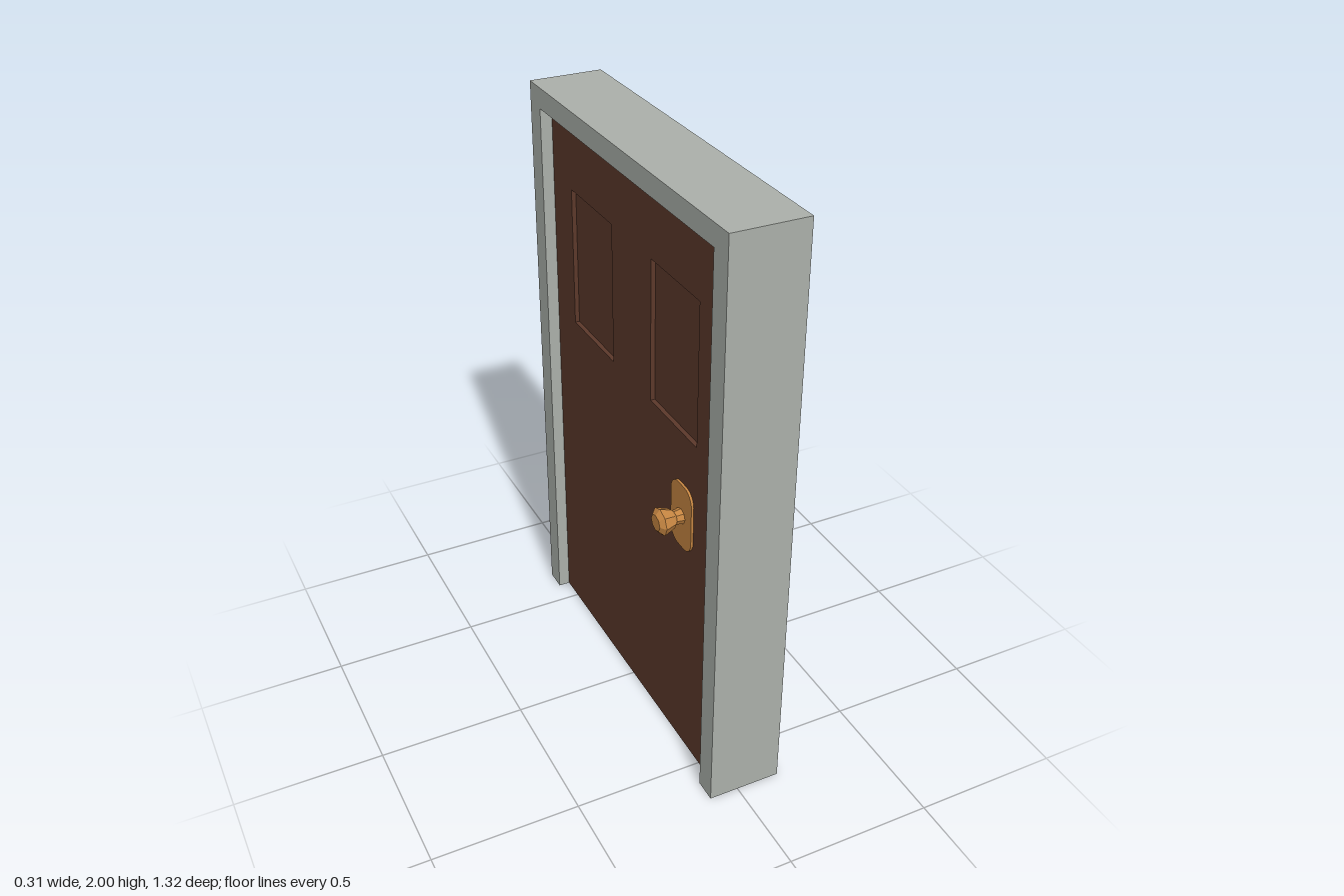
import * as THREE from 'three';

const paint = (color) => new THREE.MeshStandardMaterial({ color, flatShading: true });

// Closed outline from [z, y] points
const outline = (points) => points.map(([z, y]) => new THREE.Vector2(z, y));
const rect = (z0, z1, y0, y1) => outline([[z0, y0], [z1, y0], [z1, y1], [z0, y1]]);

// Extrudes a z-y shape from x = from down to x = to
function slab(name, shape, from, to, material) {
  const geometry = new THREE.ExtrudeGeometry(shape, { depth: from - to, bevelEnabled: false, curveSegments: 3 });
  geometry.rotateY(-Math.PI / 2).translate(from, 0, 0);
  const mesh = new THREE.Mesh(geometry, material);
  mesh.name = name;
  return mesh;
}

export function createModel() {
  const model = new THREE.Group();
  model.name = 'door';
  const stone = paint(0xabb0aa);
  const wood = paint(0x5c392b);
  const brass = paint(0xc68642);

  const W = 0.66, H = 2, w = 0.583, h = 1.93;

  // Frame: two jambs and a lintel in one piece
  const arch = new THREE.Shape(outline([
    [-W, 0], [-w, 0], [-w, h], [w, h], [w, 0], [W, 0], [W, H], [-W, H],
  ]));
  model.add(slab('frame', arch, 0.15, -0.1, stone));

  // Door leaf: plain slab plus a facing with two recessed panels
  const leaf = new THREE.Group();
  leaf.name = 'doorLeaf';
  leaf.add(slab('doorSlab', new THREE.Shape(rect(-w, w, 0, h)), 0.018, -0.045, wood));
  const facing = new THREE.Shape(rect(-w, w, 0, h));
  for (const side of [-1, 1]) {
    const z = side * 0.288;
    facing.holes.push(new THREE.Path(rect(z - 0.152, z + 0.152, 1.22, 1.7)));
  }
  leaf.add(slab('doorFacing', facing, -0.045, -0.06, wood));
  model.add(leaf);

  // Handle: backplate with rounded corners, and a faceted knob
  const handle = new THREE.Group();
  handle.name = 'handle';
  const a = 0.068, b = 0.115, r = 0.048;
  const plate = new THREE.Shape();
  plate.moveTo(a, r - b);
  plate.absarc(a - r, b - r, r, 0, Math.PI / 2);
  plate.absarc(r - a, b - r, r, Math.PI / 2, Math.PI);
  plate.absarc(r - a, r - b, r, Math.PI, Math.PI * 1.5);
  plate.absarc(a - r, r - b, r, Math.PI * 1.5, Math.PI * 2);
  handle.add(slab('backplate', plate, -0.06, -0.068, brass));

  const profile = [[0.03, 0.06], [0.026, 0.078], [0.024, 0.092], [0.034, 0.1],
    [0.049, 0.14], [0.03, 0.155], [0, 0.155]];
  const knobGeometry = new THREE.LatheGeometry(outline(profile), 8);
  knobGeometry.rotateZ(Math.PI / 2).scale(1, 0.92, 1);
  const knob = new THREE.Mesh(knobGeometry, brass);
  knob.name = 'knob';
  handle.add(knob);
  handle.position.set(0, 0.93, 0.362);
  model.add(handle);

  return model;
}
